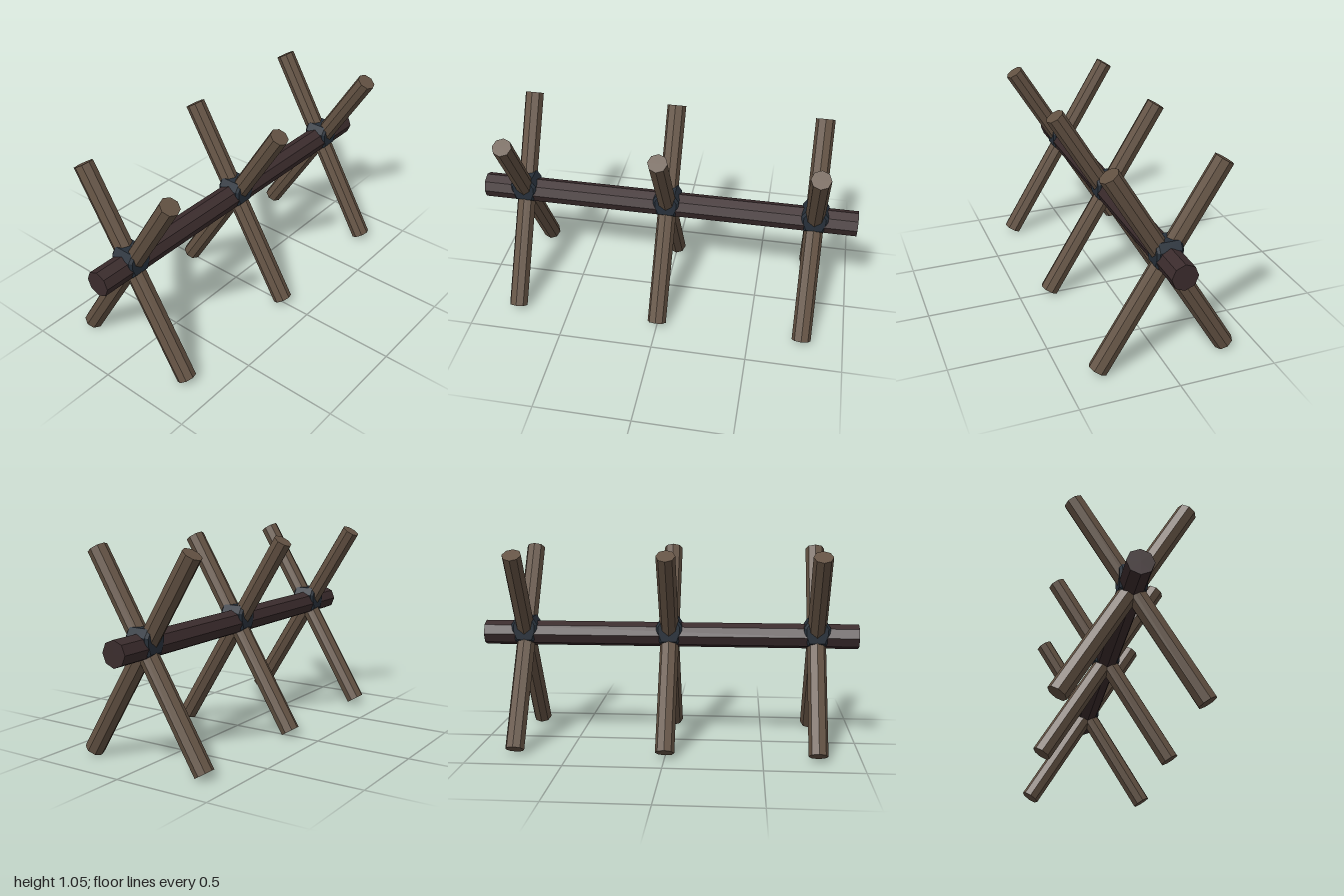
import * as THREE from 'three';

const flat = (geometry) => {
  const g = geometry.index ? geometry.toNonIndexed() : geometry;
  g.computeVertexNormals(); // faceted normals
  return g;
};

function material(name, color) {
  const m = new THREE.MeshStandardMaterial({ color });
  m.name = name;
  return m;
}

export function createModel() {
  const model = new THREE.Group();
  model.name = 'spikedBarricade';
  const logWood = material('brown wood', 0x625142);
  const beamWood = material('dark wood', 0x3b2c2d);
  const iron = material('dark iron', 0x27303a);

  const add = (parent, name, geometry, mat) => {
    const mesh = new THREE.Mesh(geometry, mat);
    mesh.name = name;
    parent.add(mesh);
    return mesh;
  };

  // Long octagonal beam
  const beam = add(model, 'beam', flat(new THREE.CylinderGeometry(0.066, 0.066, 2, 8)), beamWood);
  beam.rotation.z = Math.PI / 2;
  beam.position.y = 0.585;

  // Crossed log, longer below the crossing than above
  const logGeometry = flat(new THREE.CylinderGeometry(0.05, 0.05, 1.172, 8));

  // Chamfered iron binding around each crossing
  const half = [[0.04, 0.555], [0.056, 0.6], [0.057, 0.634], [0.038, 0.664]];
  const outline = [...half, ...half.map(([x, y]) => [-x, y]).reverse()];
  const bindingGeometry = flat(new THREE.ExtrudeGeometry(
    new THREE.Shape(outline.map(([x, y]) => new THREE.Vector2(x, y))),
    { depth: 0.108, bevelEnabled: true, bevelSize: 0.012, bevelThickness: 0.012, bevelSegments: 1 },
  ).translate(0, 0, -0.054));

  [-0.78, 0, 0.78].forEach((x) => {
    const cross = new THREE.Group();
    cross.name = 'cross';
    cross.position.x = x;
    for (const s of [-1, 1]) {
      const log = add(cross, s < 0 ? 'frontFootLog' : 'backFootLog', logGeometry, logWood);
      log.rotation.x = s * 0.548;
      log.position.set(0, 0.5265, -s * 0.028);
    }
    add(cross, 'binding', bindingGeometry, iron);
    model.add(cross);
  });

  return model;
}
